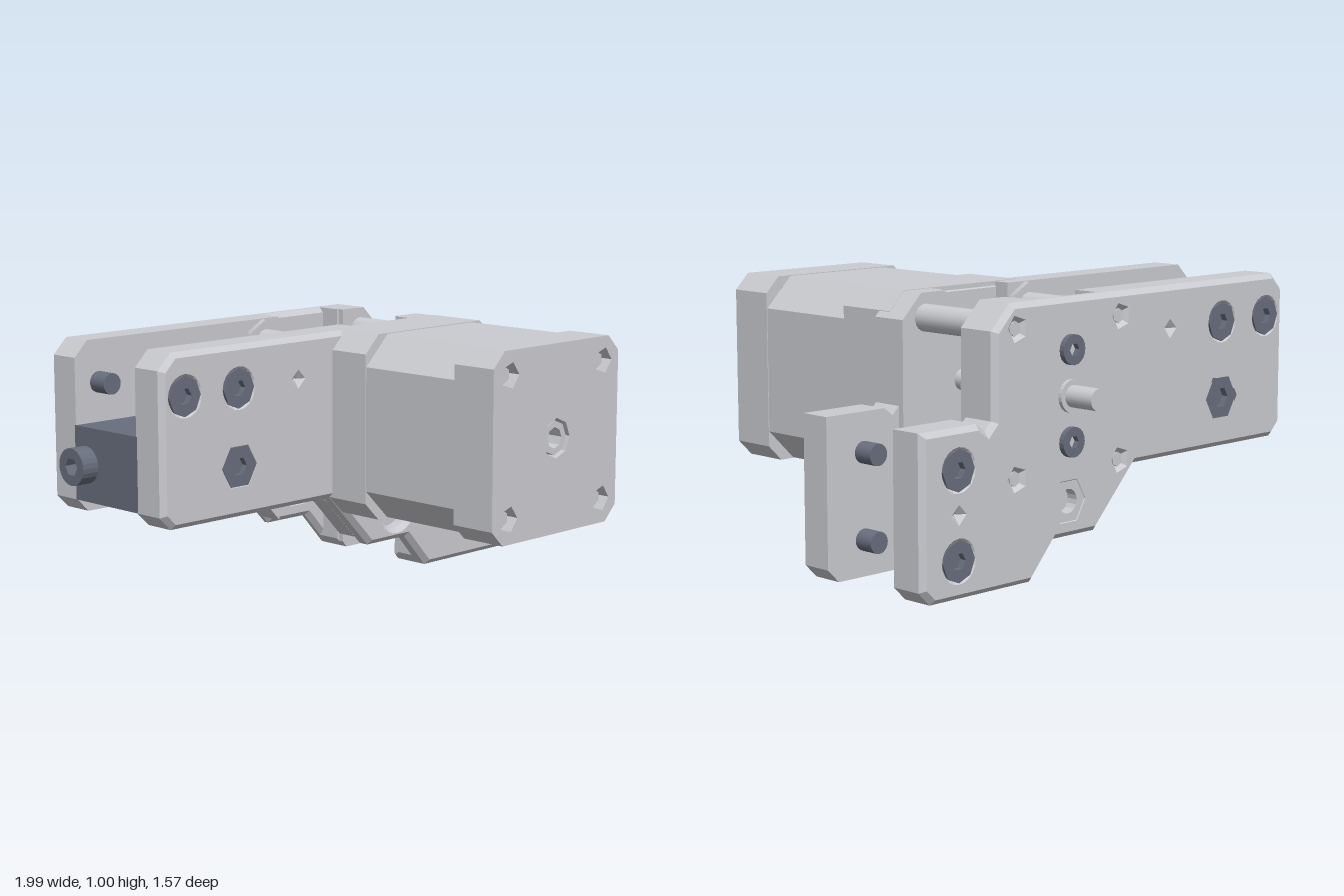
import * as THREE from 'three';

const light = new THREE.MeshStandardMaterial({ color: 0xcbccd1 });
light.name = 'light grey metal';
const dark = new THREE.MeshStandardMaterial({ color: 0x686e7d });
dark.name = 'dark steel';

const V = (pts) => pts.map(([x, y]) => new THREE.Vector2(x, y));
const circle = (x, y, r, n, a = 0) => Array.from({ length: n }, (_, i) => {
  const t = a + (i / n) * Math.PI * 2;
  return [x + r * Math.cos(t), y + r * Math.sin(t)];
});

// Square with cut corners
const cutSquare = (x, y, h, c) => [
  [x - h + c, y - h], [x + h - c, y - h], [x + h, y - h + c], [x + h, y + h - c],
  [x + h - c, y + h], [x - h + c, y + h], [x - h, y + h - c], [x - h, y - h + c],
];

const OUTLINE = [
  [-0.93, 0.41], [-0.88, 0.36], [-0.08, 0.36], [0.13, 0.14], [0.34, 0.14], [0.46, 0.005],
  [0.94, 0.005], [0.99, 0.055], [0.99, 0.6], [0.72, 0.6], [0.68, 0.57], [0.65, 0.6],
  [0.65, 0.91], [0.56, 1], [-0.87, 1], [-0.93, 0.94],
];
const INNER_LEFT = [
  [-0.93, 0.41], [-0.88, 0.36], [-0.08, 0.36], [0.1, 0.17], [0.1, 1], [-0.87, 1], [-0.93, 0.94],
];
const INNER_RIGHT = [
  [0.43, 0.04], [0.46, 0.005], [0.94, 0.005], [0.99, 0.055], [0.99, 0.6], [0.72, 0.6],
  [0.68, 0.57], [0.65, 0.6], [0.65, 0.91], [0.56, 1], [0.43, 1],
];
const RIB = [
  [0.44, 0.03], [0.46, 0.005], [0.65, 0.005], [0.65, 0.91], [0.56, 1], [0.44, 1],
];
const BOLTS = [[-0.82, 0.84], [-0.56, 0.84], [0.82, 0.455], [0.82, 0.14]];
const POSTS = [[0.01, 0.91], [0.54, 0.91], [0.01, 0.385], [0.54, 0.385]];
const PIN_HOLES = [[-0.26, 0.84], [0.82, 0.3]];
const CX = 0.275, CY = 0.647;

export function createModel() {
  const model = new THREE.Group();
  model.name = 'motorMount';

  const add = (name, geo, mat = light, parent = model) => {
    const m = new THREE.Mesh(geo, mat);
    m.name = name;
    parent.add(m);
    return m;
  };

  // Extrude an outline between two z values, optionally with chamfered edges
  const slab = (name, pts, z0, z1, { holes = [], bevel = 0, mat = light, parent = model } = {}) => {
    const shape = new THREE.Shape(V(pts));
    holes.forEach((h) => shape.holes.push(new THREE.Path(V(h))));
    const geo = new THREE.ExtrudeGeometry(shape, {
      depth: z1 - z0 - 2 * bevel, bevelEnabled: bevel > 0, bevelThickness: bevel,
      bevelSize: bevel, bevelOffset: -bevel, bevelSegments: 1,
    });
    geo.translate(0, 0, z0 + bevel);
    return add(name, geo, mat, parent);
  };

  // Cylinder along z
  const rod = (name, x, y, r, z0, z1, mat = light, n = 24, parent = model) => {
    const geo = new THREE.CylinderGeometry(r, r, z1 - z0, n);
    geo.rotateX(Math.PI / 2);
    geo.translate(x, y, (z0 + z1) / 2);
    return add(name, geo, mat, parent);
  };

  // Flush bolt: socketed head at the outer face, shank tip past the inner face
  const bolt = (x, y, r, n, face, tip, parent) => {
    const s = Math.sign(face - tip);
    const [a, b] = [face, face - s * 0.04].sort((p, q) => p - q);
    slab('boltHead', circle(x, y, r, n), a, b,
      { holes: [circle(x, y, r * 0.42, 6)], mat: dark, parent });
    const [c, d] = [face - s * 0.025, tip].sort((p, q) => p - q);
    rod('boltShank', x, y, 0.04, c, d, dark, 20, parent);
  };

  // Side plates with a pulley pocket, post bosses and bolts
  for (const front of [true, false]) {
    const face = front ? -0.02 : -0.647;
    const s = front ? -1 : 1;
    const span = (d0, d1) => [face + s * d0, face + s * d1].sort((a, b) => a - b);
    const plate = new THREE.Group();
    plate.name = front ? 'frontPlate' : 'rearPlate';
    model.add(plate);
    const holes = [
      ...BOLTS.map(([x, y]) => circle(x, y, 0.06, 20)),
      circle(-0.56, 0.55, 0.065, 6),
      ...PIN_HOLES.map(([x, y]) => circle(x, y, 0.008, 4)),
    ];
    if (front) holes.push(circle(0.28, 0.27, 0.085, 24));
    else holes.push(...POSTS.map(([x, y]) => circle(x, y, 0.025, 5)),
      circle(0.28, 0.27, 0.065, 6));
    slab('outerLayer', OUTLINE, ...span(0, front ? 0.08 : 0.06),
      { holes, bevel: 0.02, parent: plate });
    const innerStart = front ? 0.06 : 0.04;
    slab('innerLayerLeft', INNER_LEFT, ...span(innerStart, 0.142), { parent: plate });
    slab('innerLayerRight', INNER_RIGHT, ...span(innerStart, 0.142), { parent: plate });
    slab('rib', RIB, ...span(0.1, 0.165), { parent: plate });
    for (const [x, y] of POSTS) {
      if (x < 0.3) rod('postBoss', x, y, 0.088, ...span(0.06, 0.165), light, 6, plate);
    }
    for (const [x, y] of BOLTS) bolt(x, y, 0.075, 8, face, face + s * 0.222, plate);
    bolt(-0.56, 0.55, front ? 0.085 : 0.095, 6, face, face + s * 0.15, plate);
  }

  // Round posts joining the plates
  for (const [x, y] of POSTS) {
    rod('post', x, y, 0.05, -0.5, -0.17);
    rod('postScrew', x, y, 0.028, -0.635, -0.5, light, 6);
  }

  // Motor: two end caps and a body with larger corner cuts
  const motor = new THREE.Group();
  motor.name = 'motor';
  model.add(motor);
  slab('motorFrontCap', cutSquare(CX, CY, 0.355, 0.07), -0.095, 0.155, { parent: motor });
  slab('motorBody', cutSquare(CX, CY, 0.352, 0.115), 0.155, 0.6, { parent: motor });
  slab('motorEndCap', cutSquare(CX, CY, 0.355, 0.06), 0.6, 0.785, {
    holes: [...POSTS.map(([x, y]) => circle(x, y, 0.05, 5)), circle(CX, 0.65, 0.075, 8)],
    parent: motor,
  });
  for (const [x, y] of POSTS) rod('motorScrew', x, y, 0.032, 0.6, 0.755, light, 6, motor);
  slab('rearBearing', circle(CX, 0.65, 0.065, 8), 0.6, 0.775,
    { holes: [circle(CX, 0.65, 0.04, 8)], parent: motor });
  rod('motorShaft', CX, 0.65, 0.04, -0.785, -0.09, light, 24, motor);

  // Toothed belt wheels
  const toothed = (name, x, y, r, z0, z1) => {
    const n = 20, pts = [];
    for (let i = 0; i < n * 4; i++) {
      const t = (i / (n * 4)) * Math.PI * 2;
      const q = i % 4 < 2 ? r : r * 0.88;
      pts.push([x + q * Math.cos(t), y + q * Math.sin(t)]);
    }
    slab(name, pts, z0, z1);
  };
  toothed('drivePulleyTeeth', CX, 0.65, 0.105, -0.55, -0.35);
  rod('drivePulleyFlange', CX, 0.65, 0.125, -0.57, -0.55, light, 32);
  rod('drivePulleyHub', CX, 0.65, 0.125, -0.35, -0.22, light, 32);
  const setScrew = new THREE.CylinderGeometry(0.035, 0.035, 0.02, 16);
  setScrew.rotateZ(Math.PI / 2);
  setScrew.translate(CX + 0.12, 0.65, -0.285);
  add('setScrew', setScrew, dark);

  toothed('lowerPulleyTeeth', 0.28, 0.27, 0.085, -0.32, -0.12);
  rod('lowerPulleyFlange', 0.28, 0.27, 0.1, -0.34, -0.32, light, 32);
  rod('lowerPulleyFlange', 0.28, 0.27, 0.1, -0.12, -0.1, light, 32);
  rod('lowerPulleyShaft', 0.28, 0.275, 0.05, -0.6, -0.04);
  slab('lowerShaftNut', circle(0.28, 0.27, 0.085, 6), -0.644, -0.6,
    { holes: [circle(0.28, 0.27, 0.045, 16)] });

  toothed('idlerTeeth', 0.025, 0.5, 0.095, -0.48, -0.36);
  rod('idlerFlange', 0.025, 0.5, 0.115, -0.36, -0.335, light, 32);
  rod('idlerFlange', 0.025, 0.5, 0.115, -0.505, -0.48, light, 32);

  // Shaft collar and two button screws on the rear plate
  slab('shaftCollar', circle(CX, 0.65, 0.06, 24), -0.662, -0.64);
  for (const y of [0.815, 0.485]) {
    slab('buttonScrew', circle(CX, y, 0.055, 20), -0.668, -0.63,
      { holes: [circle(CX, y, 0.024, 6)], mat: dark });
  }

  // Dark tensioner block with its arm and end screw
  const box = (name, x0, x1, y0, y1, z0, z1) => {
    const geo = new THREE.BoxGeometry(x1 - x0, y1 - y0, z1 - z0);
    geo.translate((x0 + x1) / 2, (y0 + y1) / 2, (z0 + z1) / 2);
    add(name, geo, dark);
  };
  box('tensionerBlock', -0.93, -0.1, 0.41, 0.69, -0.512, -0.158);
  box('tensionerArm', -0.1, 0.12, 0.43, 0.57, -0.33, -0.158);
  const end = slab('endScrew', circle(0, 0, 0.07, 24), 0, 0.07,
    { holes: [circle(0, 0, 0.035, 6)], mat: dark });
  end.rotation.y = -Math.PI / 2;
  end.position.set(-0.93, 0.55, -0.45);

  return model;
}
